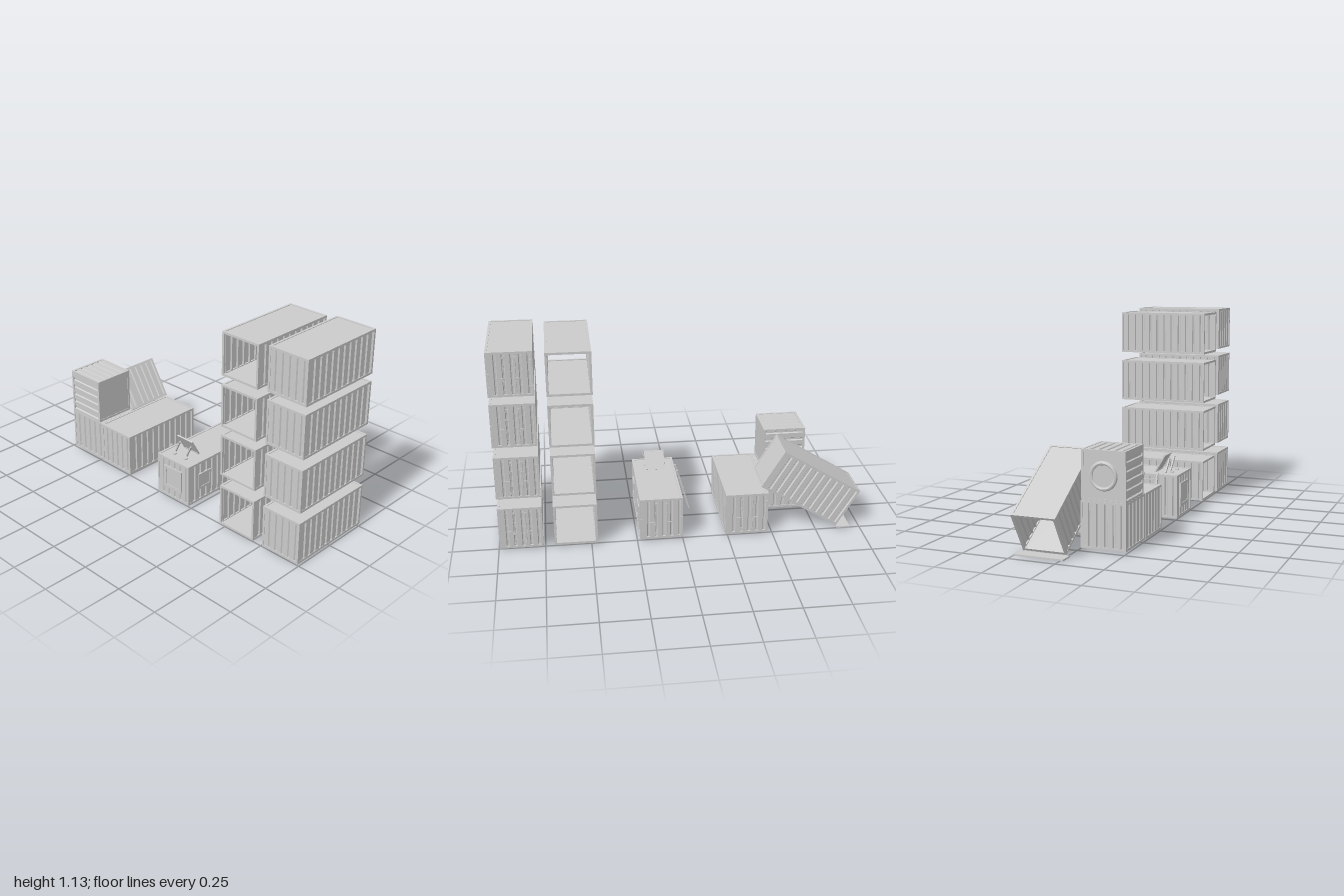
import * as THREE from 'three';

const mat = new THREE.MeshStandardMaterial({ color: 0xcccccc, side: THREE.DoubleSide, flatShading: true });
const W = 0.235, H = 0.24, L = 0.515, T = 0.012;

function add(parent, name, geo, x = 0, y = 0, z = 0) {
  const m = new THREE.Mesh(geo, mat);
  m.name = name;
  m.position.set(x, y, z);
  parent.add(m);
  return m;
}
const box = (parent, name, w, h, d, x, y, z) => add(parent, name, new THREE.BoxGeometry(w, h, d), x, y, z);

function group(parent, name, x = 0, y = 0, z = 0) {
  const g = new THREE.Group();
  g.name = name;
  g.position.set(x, y, z);
  parent.add(g);
  return g;
}

// Square bar between two points
function bar(parent, name, a, b, t) {
  const p = new THREE.Vector3(...a), q = new THREE.Vector3(...b);
  const m = box(parent, name, t, t, p.distanceTo(q), 0, 0, 0);
  m.position.copy(p).lerp(q, 0.5);
  m.lookAt(q);
  return m;
}

// Corrugated sheet: width along x, height up from y = 0, outside facing +z
function sheetGeometry(w, h) {
  const n = Math.max(2, Math.round(w / 0.043)), p = w / n, depth = 0.007, thick = 0.002;
  const line = [];
  for (let i = 0; i < n; i++) {
    const u = -w / 2 + i * p;
    line.push([u, 0], [u + p * 0.62, 0], [u + p * 0.72, depth], [u + p * 0.9, depth]);
  }
  line.push([w / 2, 0]);
  const pts = [...line, ...line.slice().reverse().map(([u, v]) => [u, v + thick])];
  const shape = new THREE.Shape(pts.map(([u, v]) => new THREE.Vector2(u, v)));
  return new THREE.ExtrudeGeometry(shape, { depth: h, bevelEnabled: false }).rotateX(-Math.PI / 2);
}
function sheet(parent, name, w, h, x, y, z, turn) {
  add(parent, name, sheetGeometry(w, h), x, y, z).rotation.y = turn;
}

// Lock rods, brackets, handles and the seam of a pair of doors at the -z end
function doorGear(parent, w, h, z) {
  box(parent, 'doorSeam', 0.006, h - 2 * T, 0.006, 0, h / 2, z + 0.003);
  for (const s of [-1, 1]) {
    add(parent, 'lockRod', new THREE.CylinderGeometry(0.0025, 0.0025, 0.185, 8), s * 0.03, h / 2, z - 0.001);
    for (const y of [0.03, 0.085, 0.155, h - 0.03]) box(parent, 'rodBracket', 0.011, 0.008, 0.006, s * 0.03, y, z);
    box(parent, 'doorHandle', 0.035, 0.005, 0.004, s * 0.046, 0.1, z - 0.001);
    for (const y of [0.05, 0.12, 0.19]) box(parent, 'doorHinge', 0.012, 0.01, 0.004, s * (w / 2 - 0.008), y, z);
  }
}

// Container along z, standing on local y = 0
function container(parent, name, x, y, z, { w = W, h = H, l = L, front = 'ribs', back = 'doors', floor = true, opening = 0 } = {}) {
  const g = group(parent, name, x, y, z);
  for (const s of [-1, 1]) {
    for (const e of [-1, 1]) {
      box(g, 'cornerPost', T, h, T, s * (w - T) / 2, h / 2, e * (l - T) / 2);
      box(g, 'sideRail', T, T, l - 2 * T, s * (w - T) / 2, e > 0 ? h - T / 2 : T / 2, 0);
      box(g, 'endRail', w - 2 * T, T, T, 0, s > 0 ? h - T / 2 : T / 2, e * (l - T) / 2);
    }
    // The -x wall may stop short to leave an opening at its +z end
    const cut = s < 0 ? opening : 0;
    sheet(g, 'sideWall', l - 2 * T - cut, h - 2 * T, s * (w / 2 - 0.002), T, -cut / 2, s * Math.PI / 2);
  }
  box(g, 'roof', w - 2 * T, 0.004, l - 2 * T, 0, h - 0.005, 0);
  if (floor) box(g, 'floor', w - 2 * T, 0.005, l - 2 * T, 0, 0.005, 0);
  if (front !== 'open') sheet(g, 'frontWall', w - 2 * T, h - 2 * T, 0, T, l / 2 - 0.002, 0);
  if (back !== 'open') sheet(g, 'backWall', w - 2 * T, h - 2 * T, 0, T, -l / 2 + 0.002, Math.PI);
  if (back === 'doors') doorGear(g, w, h, -l / 2);
  return g;
}

// Framed window facing local +z
function windowUnit(parent, name, size, x, y, z, turn) {
  const g = group(parent, name, x, y, z);
  g.rotation.y = turn;
  const t = size * 0.14, o = (size - t) / 2;
  for (const s of [-1, 1]) {
    box(g, 'windowStile', t, size, 0.018, s * o, 0, 0);
    box(g, 'windowRail', size - 2 * t, t, 0.018, 0, s * o, 0);
  }
  box(g, 'pane', size - 2 * t, size - 2 * t, 0.01, 0, 0, 0);
  return g;
}

export function createModel() {
  const root = new THREE.Group();
  root.name = 'containerYard';

  // Two stacks: closed containers and see-through ones
  [0.008, 0.308, 0.607, 0.888].forEach(y => container(root, 'closedContainer', 0.878, y, -0.004));
  [0.008, 0.308, 0.592, 0.877].forEach(y =>
    container(root, 'openContainer', 0.583, y, -0.002, { h: 0.236, front: 'open', back: 'open' }));

  // Cabin with windows
  const cabin = container(root, 'cabin', 0.117, 0.01, 0, { floor: false });
  windowUnit(cabin, 'frontWindow', 0.135, 0, 0.122, L / 2 - 0.005, 0);
  windowUnit(cabin, 'sideWindow', 0.095, W / 2 - 0.005, 0.12, 0.13, Math.PI / 2);
  windowUnit(cabin, 'sideWindow', 0.095, W / 2 - 0.005, 0.12, -0.145, Math.PI / 2);
  windowUnit(cabin, 'sideWindow', 0.095, -W / 2 + 0.005, 0.12, -0.145, -Math.PI / 2);

  // Ladder leaning on the cabin
  const ladder = group(root, 'ladder');
  const foot = [-0.077, 0.012], top = [-0.006, 0.257];
  for (const z of [0.062, 0.144]) bar(ladder, 'ladderRail', [...foot, z], [...top, z], 0.009);
  for (let i = 1; i <= 6; i++) {
    const k = i / 7, x = foot[0] + (top[0] - foot[0]) * k, y = foot[1] + (top[1] - foot[1]) * k;
    box(ladder, 'rung', 0.007, 0.007, 0.082, x, y, 0.103);
  }

  // Tilted solar panel on the cabin roof
  const solar = group(root, 'solarPanel', 0.115, 0.25, 0);
  const panel = group(solar, 'panel', 0, 0.048, 0.135);
  panel.rotation.x = Math.atan2(0.055, 0.095);
  box(panel, 'panelSheet', 0.112, 0.11, 0.004, 0, 0, 0);
  for (const s of [-1, 1]) {
    box(panel, 'panelEdge', 0.006, 0.11, 0.008, s * 0.053, 0, 0);
    box(panel, 'panelEdge', 0.1, 0.006, 0.008, 0, s * 0.052, 0);
    bar(solar, 'panelLeg', [s * 0.042, 0.002, 0.2], [s * 0.042, 0.072, 0.15], 0.008);
    box(solar, 'panelFoot', 0.016, 0.006, 0.018, s * 0.042, 0.003, 0.2);
  }

  // Joined house: main container, side wing and upright tower
  container(root, 'mainContainer', -0.355, 0.01, -0.004, { floor: false, opening: 0.235 });
  const wing = container(root, 'sideWing', -0.602, 0.01, 0.13,
    { l: 0.257, w: 0.24, front: 'open', back: 'ribs', floor: false });
  wing.rotation.y = Math.PI / 2;

  const tower = container(root, 'uprightTower', -0.73, 0.378, 0.132, { l: 0.255, h: 0.237, back: 'open' });
  tower.quaternion.setFromRotationMatrix(new THREE.Matrix4().makeBasis(
    new THREE.Vector3(0, 0, 1), new THREE.Vector3(1, 0, 0), new THREE.Vector3(0, 1, 0)));
  const porthole = group(tower, 'porthole');
  porthole.rotation.x = Math.PI / 2;
  add(porthole, 'portholeRing', new THREE.TorusGeometry(0.064, 0.011, 8, 32));
  add(porthole, 'portholeGlass', new THREE.CylinderGeometry(0.062, 0.062, 0.008, 32)).rotation.x = Math.PI / 2;

  // Container leaning on the main one, with a flap at its open lower end
  const leaning = container(root, 'leaningContainer', -0.653, 0.144, -0.118, { l: 0.51, back: 'open' });
  leaning.rotation.set(0, Math.PI / 2, 0.553, 'ZYX');
  box(root, 'entryFlap', 0.075, 0.008, 0.27, -0.908, 0.004, -0.118);
  return root;
}
